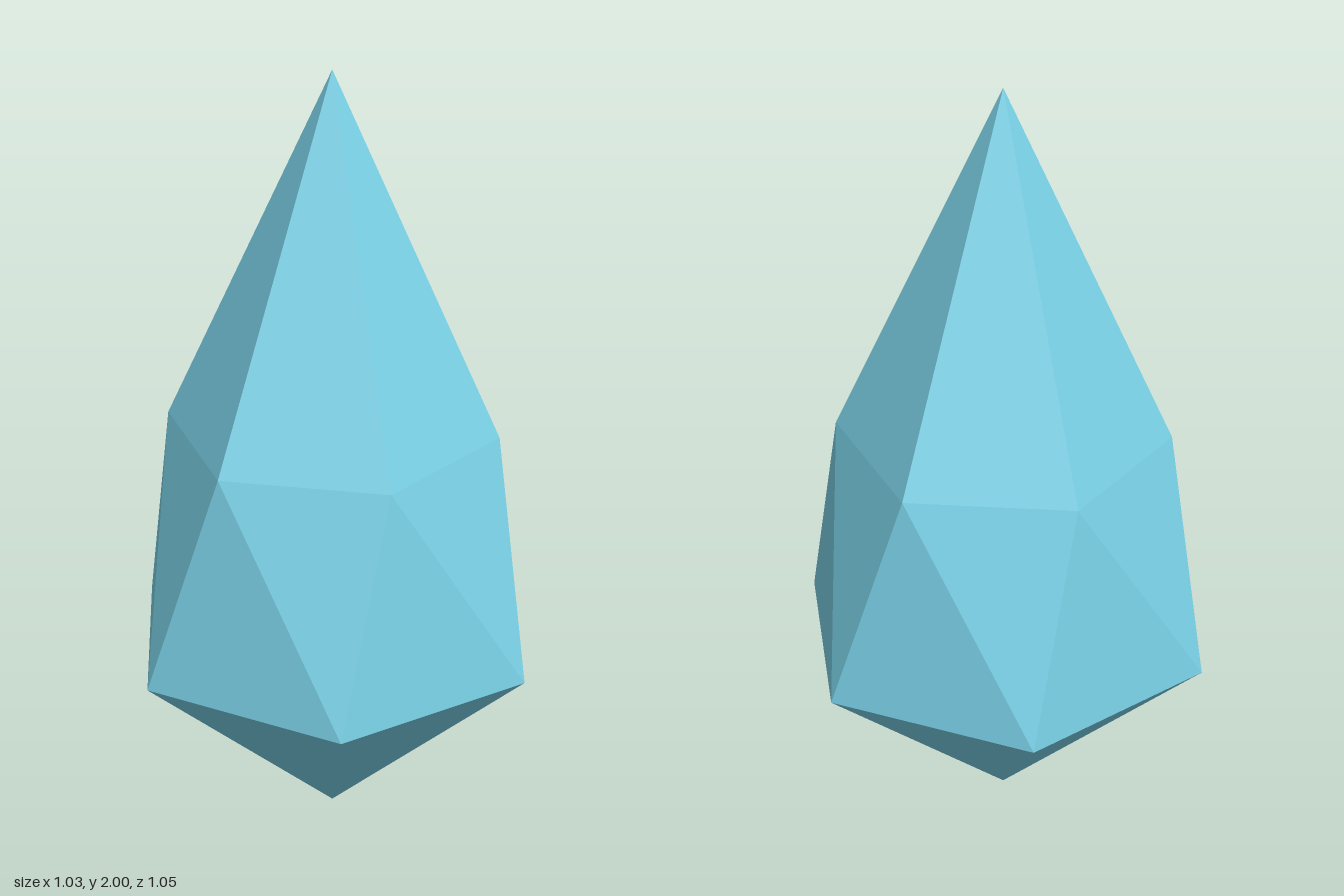
import * as THREE from 'three';

const SIDES = 6;

// One ring of corners, turned by twist degrees about the y axis
function ring(radius, y, twist) {
  return Array.from({ length: SIDES }, (_, i) => {
    const a = (i / SIDES) * Math.PI * 2 + THREE.MathUtils.degToRad(twist);
    return new THREE.Vector3(Math.cos(a) * radius, y, Math.sin(a) * radius);
  });
}

export function createModel() {
  const crystalBlue = new THREE.MeshStandardMaterial({ color: 0x7cd4ea, flatShading: true });
  crystalBlue.name = 'crystalBlue';

  const apex = new THREE.Vector3(0, 2, 0);
  const base = new THREE.Vector3(0, 0, 0);
  const shoulder = ring(0.416, 1.09, 0);
  const girdle = ring(0.539, 0.5, 17.2);

  const points = [];
  for (let i = 0; i < SIDES; i++) {
    const j = (i + 1) % SIDES;
    points.push(apex, shoulder[j], shoulder[i]); // long upper facet
    points.push(shoulder[j], girdle[i], shoulder[i]); // twisted band
    points.push(shoulder[j], girdle[j], girdle[i]);
    points.push(girdle[i], girdle[j], base); // lower point
  }
  const geometry = new THREE.BufferGeometry().setFromPoints(points);
  geometry.computeVertexNormals();

  const crystal = new THREE.Mesh(geometry, crystalBlue);
  crystal.name = 'crystal';
  const group = new THREE.Group();
  group.name = 'crystalShard';
  group.add(crystal);
  return group;
}
